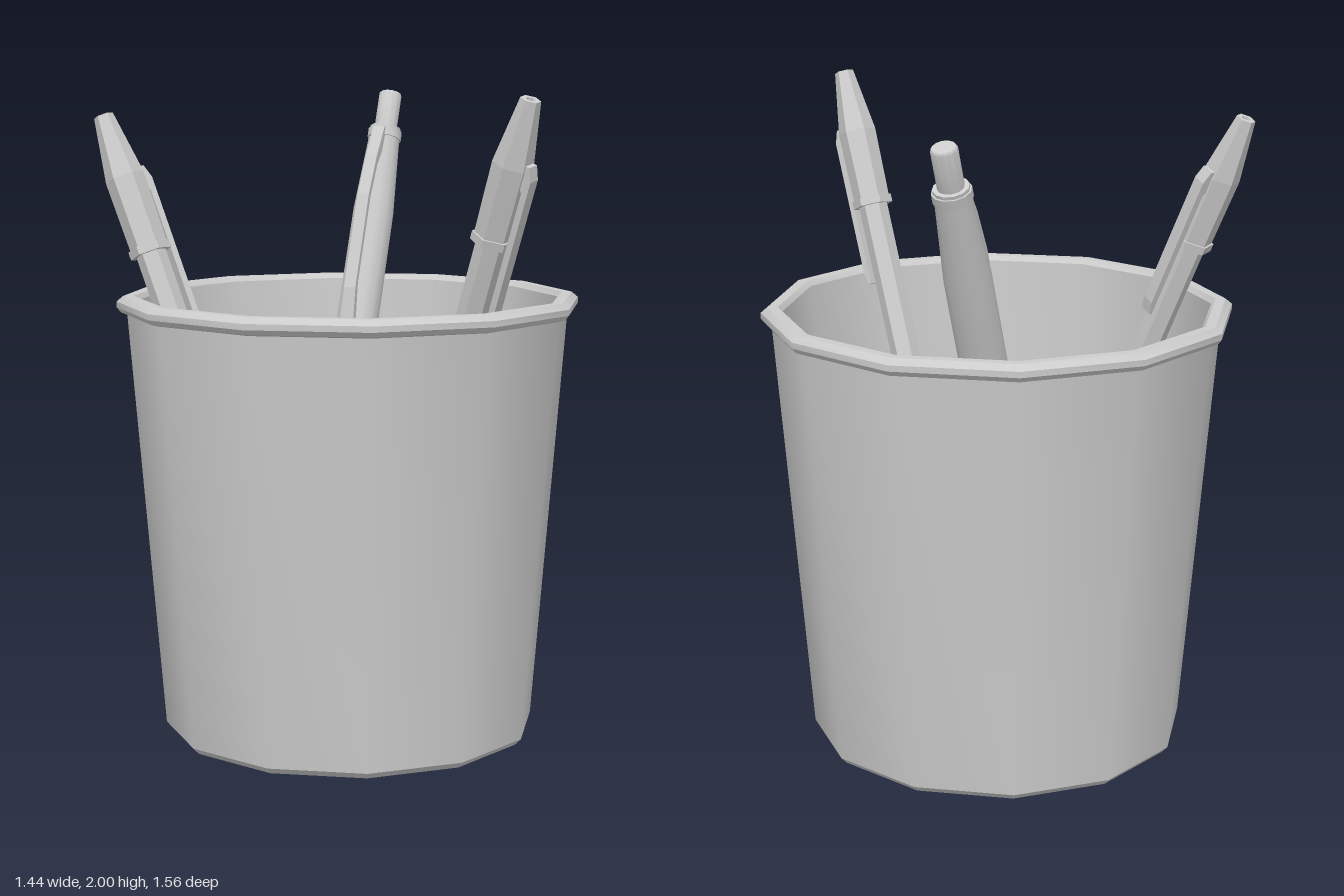
import * as THREE from 'three';
import { toCreasedNormals } from 'three/addons/utils/BufferGeometryUtils.js';

const smooth = new THREE.MeshStandardMaterial({ color: 0xcccccc });
const flat = new THREE.MeshStandardMaterial({ color: 0xcccccc, flatShading: true });

function part(name, geometry, material) {
  const mesh = new THREE.Mesh(geometry, material);
  mesh.name = name;
  return mesh;
}

// Turned shape from [radius, height] pairs, listed from bottom to top on the outside
function turned(name, profile, sides, faceted, phase = 0) {
  const points = profile.map(([r, y]) => new THREE.Vector2(r, y));
  const geometry = new THREE.LatheGeometry(points, sides, phase);
  return part(name, faceted ? geometry : toCreasedNormals(geometry, 0.6), faceted ? flat : smooth);
}

// Clip from a side outline of [distance from axis, height] pairs; it points to local +z
function clip(name, outline, width) {
  const shape = new THREE.Shape(outline.map(([d, y]) => new THREE.Vector2(d, y)));
  const geometry = new THREE.ExtrudeGeometry(shape, { depth: width, bevelEnabled: false });
  geometry.translate(0, 0, -width / 2).rotateY(-Math.PI / 2);
  return part(name, geometry, flat);
}

// Stand a pen so its upper end is at top, its axis runs to tip, and its clip faces clipSide
function place(pen, length, tip, top, clipSide) {
  const end = new THREE.Vector3(...top);
  const y = end.clone().sub(new THREE.Vector3(...tip)).normalize();
  const z = new THREE.Vector3(...clipSide);
  z.addScaledVector(y, -z.dot(y)).normalize();
  const x = new THREE.Vector3().crossVectors(y, z);
  pen.quaternion.setFromRotationMatrix(new THREE.Matrix4().makeBasis(x, y, z));
  pen.position.copy(end).addScaledVector(y, -length);
  return pen;
}

// Six-sided pen with a tapered cap, a ring and a long clip
function hexPen(name, length) {
  const pen = new THREE.Group();
  pen.name = name;
  const L = length, phase = Math.PI / 6;
  pen.add(
    turned('barrel', [[0, 0], [0.012, 0], [0.018, 0.06], [0.046, 0.27], [0.046, L - 0.4]], 6, true, phase),
    turned('cap', [[0.046, L - 0.43], [0.057, L - 0.43], [0.06, L - 0.2], [0.03, L], [0.014, L],
      [0.012, L - 0.015], [0, L - 0.015]], 6, true, phase),
    turned('capRing', [[0.05, L - 0.445], [0.064, L - 0.445], [0.064, L - 0.42], [0.05, L - 0.42]], 6, true, phase),
    clip('clip', [[0.04, L - 0.18], [0.04, L - 0.24], [0.058, L - 0.26], [0.058, L - 0.69],
      [0.068, L - 0.69], [0.077, L - 0.65], [0.077, L - 0.22], [0.062, L - 0.18]], 0.045));
  return pen;
}

// Round pen with a push button and an arched clip
function clickPen(name, length) {
  const pen = new THREE.Group();
  pen.name = name;
  const L = length;
  pen.add(
    turned('barrel', [[0, 0], [0.018, 0], [0.03, 0.07], [0.066, 0.28], [0.07, 0.9], [0.068, L - 0.42],
      [0.052, L - 0.16], [0.052, L - 0.125], [0, L - 0.125]], 12, false),
    turned('collar', [[0.045, L - 0.165], [0.057, L - 0.165], [0.057, L - 0.135], [0.045, L - 0.135]], 12, false),
    turned('pushButton', [[0.038, L - 0.14], [0.038, L - 0.006], [0.034, L], [0, L]], 12, false),
    clip('clip', [[0.04, L - 0.14], [0.04, L - 0.2], [0.075, L - 0.28], [0.094, L - 0.4], [0.094, L - 0.7],
      [0.07, L - 0.8], [0.07, L - 0.84], [0.084, L - 0.84], [0.11, L - 0.72], [0.112, L - 0.4],
      [0.092, L - 0.26], [0.06, L - 0.14]], 0.04));
  return pen;
}

export function createModel() {
  const model = new THREE.Group();
  model.name = 'penCup';

  // Twelve-sided tapered cup with a rolled rim and hollow inside
  const cup = turned('cup', [[0, 0], [0.565, 0], [0.584, 0.02], [0.688, 1.325], [0.708, 1.33], [0.72, 1.345],
    [0.72, 1.363], [0.7, 1.38], [0.668, 1.38], [0.655, 1.365], [0.547, 0.04], [0, 0.04]], 12, false);
  cup.position.z = -0.065;
  model.add(cup);

  // Pens leaning on the rim
  model.add(
    place(hexPen('frontPen', 2.07), 2.07, [0.043, 0.05, -0.04], [0.043, 1.99, 0.75], [0.4, 0, 1]),
    place(hexPen('sidePen', 2.04), 2.04, [-0.365, 0.05, 0.33], [-0.66, 1.93, -0.42], [1, 0, 0.1]),
    place(clickPen('clickPen', 1.98), 1.98, [-0.105, 0.14, -0.165], [0.537, 1.985, -0.583], [-0.84, 0.3, 0.55]));
  return model;
}
